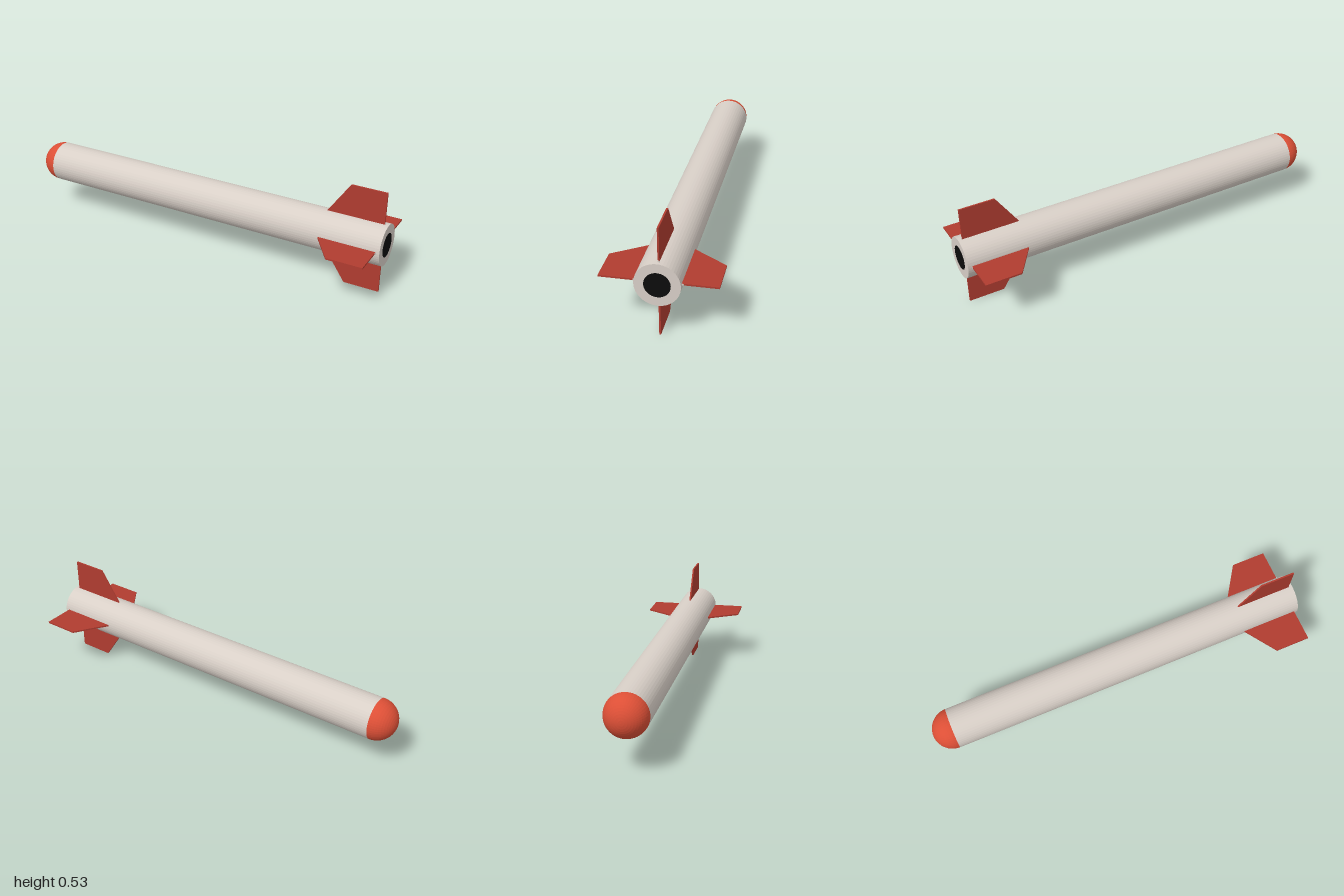
import * as THREE from 'three';

const R = 0.104;       // body radius
const AXIS = 0.268;    // height of the centre line
const SIDES = 48;
const FIN_T = 0.008;   // fin thickness

const paint = (name, color, flatShading = false) => {
  const m = new THREE.MeshStandardMaterial({ color });
  m.name = name;
  m.flatShading = flatShading;
  return m;
};

// Flat plate from [x, radius] points, on the -z side of the centre plane
function plate(points) {
  const shape = new THREE.Shape(points.map(([x, y]) => new THREE.Vector2(x, y)));
  return new THREE.ExtrudeGeometry(shape, { depth: FIN_T, bevelEnabled: false }).translate(0, 0, -FIN_T);
}

export function createModel() {
  const shell = paint('warm grey shell', 0xd8cfc7, true);
  const noseRed = paint('bright red nose', 0xdc4f36, true);
  const finRed = paint('dark red fins', 0xb03c30);
  const black = paint('black nozzle', 0x0c0c0c);

  const model = new THREE.Group();
  model.name = 'rocket';
  const rocket = new THREE.Group();
  rocket.name = 'airframe';
  rocket.position.y = AXIS;
  model.add(rocket);

  const add = (name, geometry, material, parent = rocket) => {
    const mesh = new THREE.Mesh(geometry, material);
    mesh.name = name;
    parent.add(mesh);
    return mesh;
  };

  // Long tube along x
  const front = -1 + R, length = 1 - front;
  add('body', new THREE.CylinderGeometry(R, R, length, SIDES)
    .rotateZ(-Math.PI / 2).translate(front + length / 2, 0, 0), shell);

  // Hemispherical nose pointing to -x
  add('nose', new THREE.SphereGeometry(R, SIDES, 12, 0, Math.PI * 2, 0, Math.PI / 2)
    .rotateZ(Math.PI / 2).translate(front, 0, 0), noseRed);

  // Black nozzle disc on the tail
  add('nozzle', new THREE.CylinderGeometry(0.06, 0.06, 0.004, SIDES)
    .rotateZ(-Math.PI / 2).translate(0.999, 0, 0), black);

  // Swept fins: an upright pair and a level pair
  for (const level of [false, true]) {
    const pair = new THREE.Group();
    pair.name = level ? 'levelFins' : 'uprightFins';
    if (level) pair.rotation.x = Math.PI / 2;
    rocket.add(pair);
    for (const s of [1, -1]) {
      add('fin', plate([[0.683, s * 0.094], [0.8, s * 0.267], [0.98, s * 0.267], [0.98, s * 0.094]]), finRed, pair);
      // Small root tab at the trailing edge
      add('finTab', plate([[0.98, s * 0.098], [0.98, s * 0.112], [0.982, s * 0.112], [0.982, s * 0.098]]), shell, pair);
    }
  }
  return model;
}
